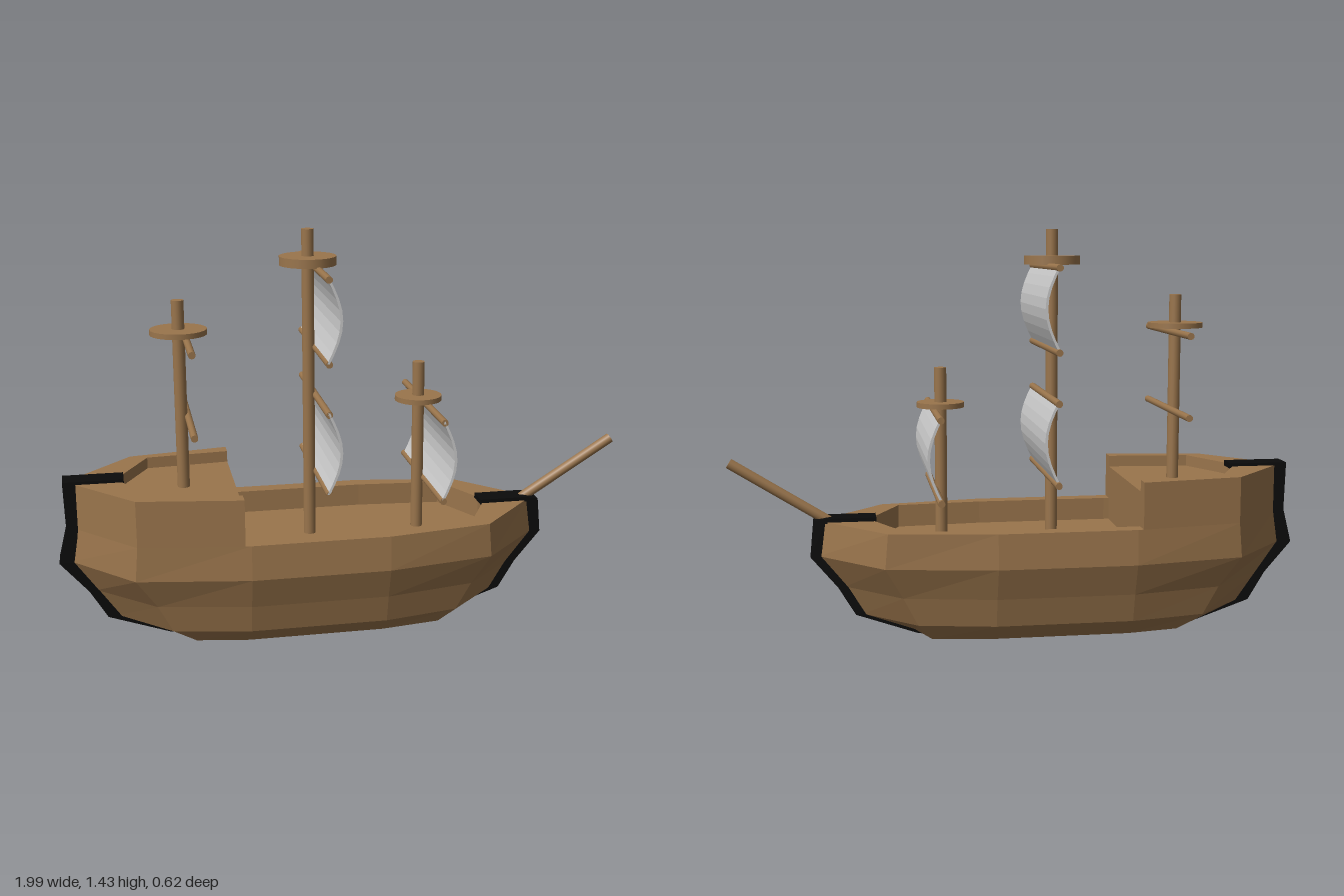
import * as THREE from 'three';

const wood = new THREE.MeshStandardMaterial({ color: 0x9a754c, flatShading: true });
const roundWood = new THREE.MeshStandardMaterial({ color: 0x9a754c });
const black = new THREE.MeshStandardMaterial({ color: 0x0b0b0b, flatShading: true });
const cloth = new THREE.MeshStandardMaterial({ color: 0xcccccc, side: THREE.DoubleSide, flatShading: true });

function add(parent, name, geometry, material) {
  const mesh = new THREE.Mesh(geometry, material);
  mesh.name = name;
  parent.add(mesh);
  return mesh;
}

// Half outline from stern to bow, mirrored across z into a closed ring
const mirrored = half => [...half, ...half.slice().reverse().map(([x, z]) => [x, -z])];

// Level: y, stern tip, stern corner, bow corner, bow tip, corner width, middle width, tip width
function hullRing([y, sTip, sCorner, bCorner, bTip, wCorner, wMid, wTip]) {
  const half = [[sTip, wTip], [sCorner, wCorner], [-0.37, wMid], [0.1, wMid], [bCorner, wCorner], [bTip, wTip]];
  return mirrored(half).map(([x, z]) => [x, y, z]);
}

// Loft through closed rings with both ends capped
function loft(rings) {
  const n = rings[0].length, index = [];
  for (let r = 0; r < rings.length - 1; r++) {
    for (let i = 0; i < n; i++) {
      const a = r * n + i, b = r * n + (i + 1) % n;
      index.push(a, b, b + n, a, b + n, a + n);
    }
  }
  const last = (rings.length - 1) * n;
  // Caps are strips between the two mirrored sides
  for (let i = 0; i < n / 2 - 1; i++) {
    const j = n - 1 - i;
    index.push(i, j - 1, i + 1, i, j, j - 1);
    index.push(last + i, last + i + 1, last + j - 1, last + i, last + j - 1, last + j);
  }
  const g = new THREE.BufferGeometry();
  g.setAttribute('position', new THREE.Float32BufferAttribute(rings.flat(2), 3));
  g.setIndex(index);
  const flat = g.toNonIndexed();
  flat.computeVertexNormals();
  return flat;
}

function extrude(points, depth) {
  const shape = new THREE.Shape(points.map(p => new THREE.Vector2(...p)));
  return new THREE.ExtrudeGeometry(shape, { depth, bevelEnabled: false });
}

// Plan outline (x, z) raised between two heights
const slab = (points, bottom, top) =>
  extrude(points, top - bottom).rotateX(Math.PI / 2).translate(0, top, 0);

function addHull(ship) {
  const levels = [
    [0.01, -0.4, -0.35, 0.2, 0.25, 0.04, 0.04, 0.03],
    [0.036, -0.6, -0.55, 0.31, 0.36, 0.15, 0.18, 0.03],
    [0.10, -0.81, -0.63, 0.36, 0.54, 0.20, 0.25, 0.03],
    [0.20, -0.88, -0.68, 0.41, 0.60, 0.215, 0.275, 0.03],
    [0.31, -0.96, -0.75, 0.47, 0.69, 0.25, 0.312, 0.025],
    [0.43, -0.945, -0.74, 0.46, 0.67, 0.25, 0.305, 0.025],
    // Inside of the bulwark, down to the main deck
    [0.43, -0.78, -0.68, 0.40, 0.50, 0.225, 0.25, 0.03],
    [0.35, -0.78, -0.68, 0.40, 0.50, 0.225, 0.25, 0.03],
  ];
  add(ship, 'hull', loft(levels.map(hullRing)), wood);

  // Raised stern: U-shaped bulwark around a quarterdeck
  const outer = mirrored([[-0.39, 0.304], [-0.74, 0.25], [-0.945, 0.025]]);
  const inner = mirrored([[-0.39, 0.25], [-0.68, 0.225], [-0.78, 0.03]]);
  add(ship, 'sternBulwark', slab([...outer, ...inner.slice().reverse()], 0.43, 0.59), wood);
  add(ship, 'quarterdeck', slab(inner, 0.345, 0.55), wood);
}

function addKeel(ship) {
  const outer = [[-0.77, 0.6], [-0.975, 0.6], [-0.97, 0.43], [-1, 0.31], [-0.905, 0.2], [-0.845, 0.1],
    [-0.63, 0.025], [-0.3, 0.004], [-0.1, 0], [0.05, 0], [0.15, 0.004], [0.35, 0.025], [0.565, 0.1],
    [0.625, 0.2], [0.717, 0.31], [0.705, 0.435], [0.66, 0.443], [0.49, 0.443]];
  const inner = [[0.49, 0.425], [0.665, 0.425], [0.68, 0.31], [0.59, 0.2], [0.53, 0.11], [0.34, 0.045],
    [0.1, 0.02], [-0.3, 0.02], [-0.6, 0.045], [-0.8, 0.11], [-0.87, 0.2], [-0.95, 0.31],
    [-0.93, 0.43], [-0.93, 0.58], [-0.77, 0.58]];
  add(ship, 'keel', extrude([...outer, ...inner], 0.08).translate(0, 0, -0.04), black);
}

// Thin curved sheet bulging forward between two yards
function sailGeometry(height) {
  const steps = 8, arc = off => Array.from({ length: steps + 1 }, (_, i) => {
    const t = i / steps;
    return [off + 0.044 * Math.sin(Math.PI * t), (t - 0.5) * height];
  });
  return extrude([...arc(0), ...arc(-0.009).reverse()], 0.555).translate(0, 0, -0.275);
}

function addMast(ship, { name, x, base, top, nest, nestR, nestH, yards, sails }) {
  const mast = new THREE.Group();
  mast.name = name;
  mast.position.x = x;
  ship.add(mast);
  add(mast, 'pole', new THREE.CylinderGeometry(0.021, 0.021, top - base, 16), roundWood)
    .position.y = (top + base) / 2;
  add(mast, 'lookoutPlatform', new THREE.CylinderGeometry(nestR, nestR, nestH, 24), roundWood)
    .position.y = nest;
  for (const y of yards) {
    const yard = add(mast, 'yard', new THREE.CylinderGeometry(0.012, 0.012, 0.57, 10), roundWood);
    yard.rotation.x = Math.PI / 2;
    yard.position.set(0.023, y, -0.005);
  }
  for (const [low, high] of sails) {
    add(mast, 'sail', sailGeometry(high - low), cloth).position.set(0.024, (low + high) / 2, 0);
  }
}

export function createModel() {
  const ship = new THREE.Group();
  ship.name = 'sailingShip';
  addHull(ship);
  addKeel(ship);

  addMast(ship, { name: 'mainMast', x: -0.127, base: 0.34, top: 1.425, nest: 1.32, nestR: 0.097, nestH: 0.03,
    yards: [1.298, 1.023, 0.855, 0.582], sails: [[1.025, 1.305], [0.583, 0.863]] });
  addMast(ship, { name: 'foreMast', x: 0.262, base: 0.34, top: 0.955, nest: 0.827, nestR: 0.082, nestH: 0.018,
    yards: [0.808, 0.533], sails: [[0.533, 0.815]] });
  addMast(ship, { name: 'mizzenMast', x: -0.566, base: 0.54, top: 1.2, nest: 1.094, nestR: 0.096, nestH: 0.018,
    yards: [1.073, 0.8], sails: [] });

  // Bowsprit rising forward from the bow
  const from = new THREE.Vector3(0.6, 0.395, 0), to = new THREE.Vector3(0.985, 0.637, 0);
  const sprit = add(ship, 'bowsprit', new THREE.CylinderGeometry(0.018, 0.018, from.distanceTo(to), 16), roundWood);
  sprit.position.copy(from).lerp(to, 0.5);
  sprit.quaternion.setFromUnitVectors(new THREE.Vector3(0, 1, 0), to.clone().sub(from).normalize());
  return ship;
}
